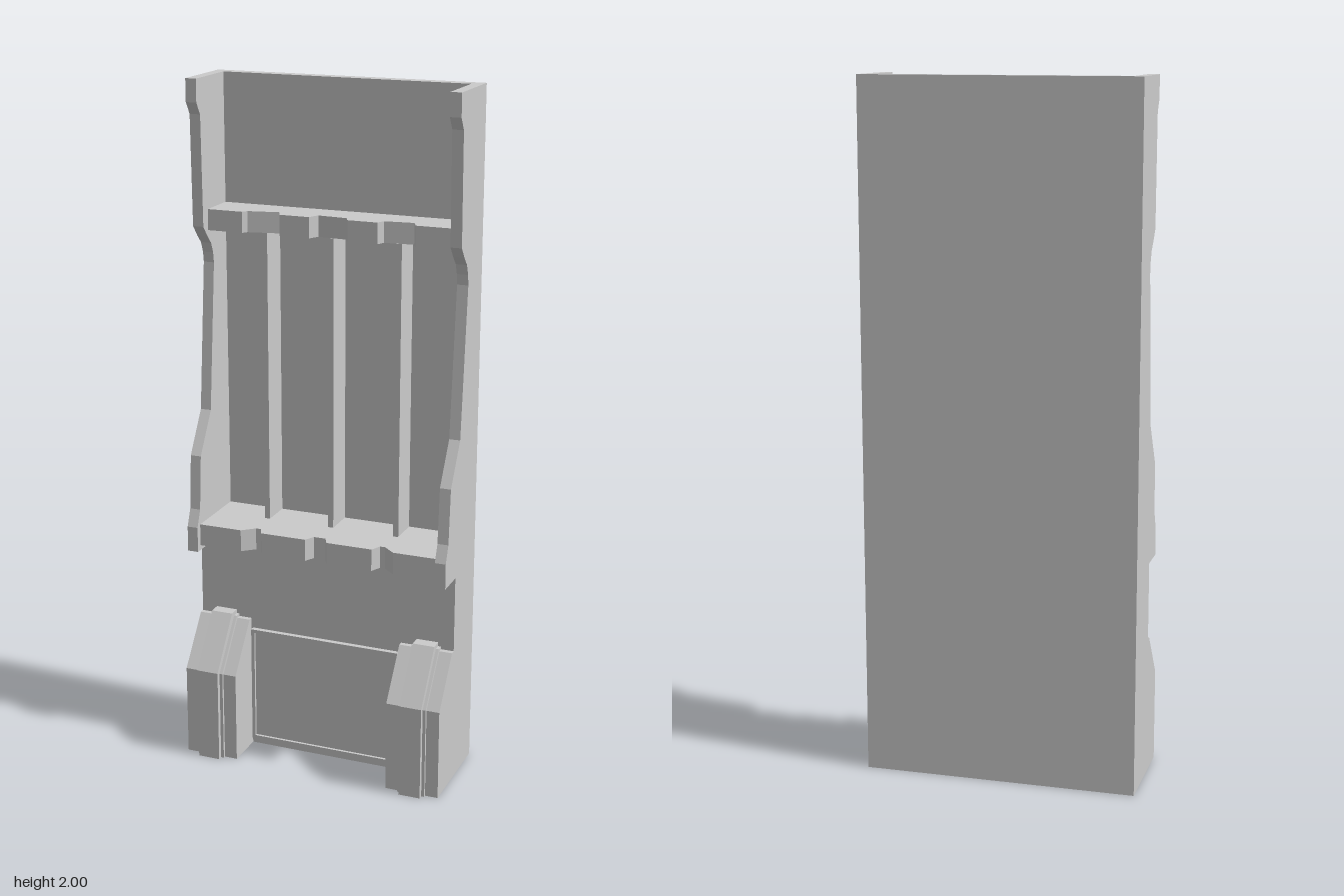
import * as THREE from 'three';

const W = 0.397;      // half width
const IN = 0.365;     // inner face of the side panels
const BACK = -0.16, INNER_BACK = -0.125, FACE = 0.015;

export function createModel() {
  const root = new THREE.Group();
  const mat = new THREE.MeshStandardMaterial({ color: 0xcccccc, flatShading: true });

  const add = (name, geo) => {
    const m = new THREE.Mesh(geo, mat);
    m.name = name;
    root.add(m);
    return m;
  };
  const extrude = (pts, depth) => new THREE.ExtrudeGeometry(
    new THREE.Shape(pts.map(([a, b]) => new THREE.Vector2(a, b))),
    { depth, bevelEnabled: false });
  // box given by its limits
  const box = (name, x0, x1, y0, y1, z0, z1) => add(name,
    new THREE.BoxGeometry(x1 - x0, y1 - y0, z1 - z0)
      .translate((x0 + x1) / 2, (y0 + y1) / 2, (z0 + z1) / 2));
  // (z, y) profile spanning x0..x1
  const side = (name, pts, x0, x1) =>
    add(name, extrude(pts, x1 - x0).rotateY(-Math.PI / 2).translate(x1, 0, 0));
  // (x, z) outline spanning y0..y1
  const shelf = (name, pts, y0, y1) =>
    add(name, extrude(pts, y1 - y0).rotateX(Math.PI / 2).translate(0, y1, 0));

  // back plate and solid lower body
  box('backPlate', -IN, IN, 0.65, 2, BACK, INNER_BACK);
  box('lowerBody', -IN, IN, 0, 0.65, BACK, FACE);

  // contoured side panels
  const cheek = [[BACK, 0], [FACE, 0], [FACE, 0.635], [0.105, 0.635], [0.105, 0.71],
    [0.085, 0.76], [0.073, 0.92], [0, 1.04], [-0.04, 1.47], [-0.036, 1.5], [-0.024, 1.53],
    [0, 1.555], [0.024, 1.585], [0.03, 1.9], [0.052, 1.935], [0.052, 2], [BACK, 2]];
  // foot block and the raised strap running over it
  const block = [[0, 0], [0.135, 0], [0.135, 0.27], [0.03, 0.41], [0, 0.41]];
  const trim = [[0, 0], [0.143, 0], [0.143, 0.274], [0.035, 0.418], [0, 0.418]];
  const strap = [[0, 0], [0.157, 0], [0.157, 0.28], [0.05, 0.43], [0, 0.43]];
  for (const s of [-1, 1]) {
    const mirrored = (name, pts, a, b) => side(name, pts, Math.min(s * a, s * b), Math.max(s * a, s * b));
    mirrored('sidePanel', cheek, IN, W);
    mirrored('footBlock', block, 0.237, W);
    mirrored('footTrim', trim, 0.276, 0.359);
    mirrored('footStrap', strap, 0.285, 0.35);
  }

  // shelves with notched front edges
  shelf('lowerShelf', [[-IN, INNER_BACK], [IN, INNER_BACK], [IN, 0.087],
    [0.235, 0.087], [0.2, 0.056], [0.185, 0.056], [0.17, 0.087],
    [0.033, 0.087], [0.018, 0.057], [-0.018, 0.057], [-0.033, 0.087],
    [-0.17, 0.087], [-0.185, 0.056], [-0.2, 0.056], [-0.235, 0.087], [-IN, 0.087]], 0.65, 0.715);
  shelf('upperShelf', [[-IN, INNER_BACK], [IN, INNER_BACK], [IN, -0.007],
    [0.255, -0.007], [0.24, -0.04], [0.155, -0.031], [0.145, -0.007],
    [0.057, -0.007], [0.045, -0.032], [-0.042, -0.039], [-0.057, -0.007],
    [-0.145, -0.007], [-0.16, -0.04], [-0.25, -0.022], [-0.26, -0.007], [-IN, -0.007]], 1.57, 1.63);

  // upright dividers between the shelves
  for (const x of [-0.203, -0.002, 0.199])
    box('divider', x - 0.008, x + 0.008, 0.715, 1.57, INNER_BACK, -0.033);

  // framed panel between the feet
  const px = 0.232, y0 = 0.022, y1 = 0.38, t = 0.01;
  box('frontPanel', -px + t, px - t, y0 + t, y1 - t, 0, 0.022);
  box('frameTop', -px, px, y1 - t, y1, 0, 0.03);
  box('frameBottom', -px, px, y0, y0 + t, 0, 0.03);
  for (const s of [-1, 1]) {
    const c = s * (px - t / 2);
    box('frameSide', c - t / 2, c + t / 2, y0 + t, y1 - t, 0, 0.03);
  }
  return root;
}
